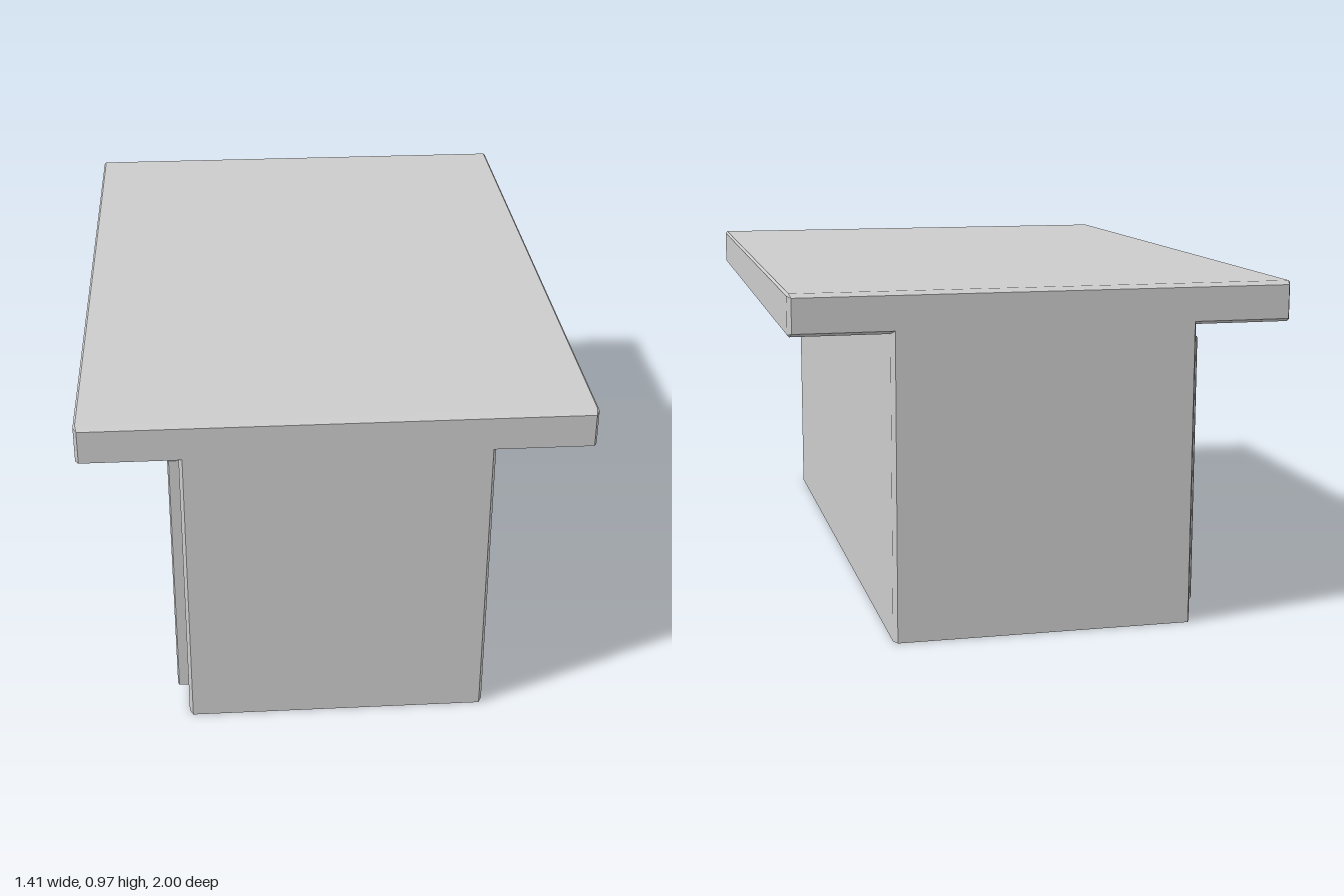
import * as THREE from 'three';

const material = new THREE.MeshStandardMaterial({ color: 0xcccccc, flatShading: true });

function add(parent, name, geometry) {
  const mesh = new THREE.Mesh(geometry, material);
  mesh.name = name;
  parent.add(mesh);
  return mesh;
}

// T-shaped cabinet and worktop in one piece, chamfered at both ends
function islandGeometry() {
  const w = 0.705, b = 0.43, top = 0.97, under = 0.855, c = 0.006;
  const half = [
    [b, 0], [b, under], [w - c, under], [w, under + c], [w, top - c], [w - c, top],
  ];
  const mirrored = half.map(([x, y]) => [-x, y]).reverse();
  const shape = new THREE.Shape([...half, ...mirrored].map(([x, y]) => new THREE.Vector2(x, y)));
  const geo = new THREE.ExtrudeGeometry(shape, {
    depth: 1.96, bevelThickness: 0.02, bevelSize: 0.01, bevelOffset: -0.01, bevelSegments: 1,
  });
  geo.translate(0, 0, -0.98);
  // keep the foot flat on the floor
  const p = geo.attributes.position;
  for (let i = 0; i < p.count; i++) if (p.getY(i) < 0.05) p.setY(i, 0);
  geo.computeVertexNormals();
  return geo;
}

// Door panel with a lightly chamfered outer face, facing -x
function doorGeometry(width, height) {
  const x = width / 2, y = height / 2;
  const shape = new THREE.Shape([[-x, -y], [x, -y], [x, y], [-x, y]].map((v) => new THREE.Vector2(...v)));
  const geo = new THREE.ExtrudeGeometry(shape, {
    depth: 0.036, bevelThickness: 0.004, bevelSize: 0.004, bevelOffset: -0.004, bevelSegments: 1,
  });
  return geo.rotateY(-Math.PI / 2);
}

// C-shaped pull with rounded outer corners, drawn in x-y
function handleGeometry() {
  const x0 = -0.455, x1 = -0.53, y0 = 0.46, y1 = 0.655, r = 0.03, t = 0.026, q = 0.004;
  const s = new THREE.Shape();
  s.moveTo(x0, y1);
  s.lineTo(x1 + r, y1);
  s.quadraticCurveTo(x1, y1, x1, y1 - r);
  s.lineTo(x1, y0 + r);
  s.quadraticCurveTo(x1, y0, x1 + r, y0);
  s.lineTo(x0, y0);
  s.lineTo(x0, y0 + t);
  s.lineTo(x1 + t + q, y0 + t);
  s.lineTo(x1 + t, y0 + t + q);
  s.lineTo(x1 + t, y1 - t - q);
  s.lineTo(x1 + t + q, y1 - t);
  s.lineTo(x0, y1 - t);
  s.closePath();
  const depth = 0.032;
  return new THREE.ExtrudeGeometry(s, { depth, bevelEnabled: false, curveSegments: 4 })
    .translate(0, 0, -depth / 2);
}

export function createModel() {
  const model = new THREE.Group();
  model.name = 'kitchenIsland';
  add(model, 'cabinetAndWorktop', islandGeometry());

  // Pair of doors with pulls next to the middle
  for (const [side, label] of [[-1, 'back'], [1, 'front']]) {
    const unit = new THREE.Group();
    unit.name = label + 'DoorUnit';
    add(unit, label + 'Door', doorGeometry(0.83, 0.77)).position.set(-0.423, 0.425, side * 0.495);
    add(unit, label + 'Handle', handleGeometry()).position.z = side * 0.15;
    model.add(unit);
  }
  return model;
}
